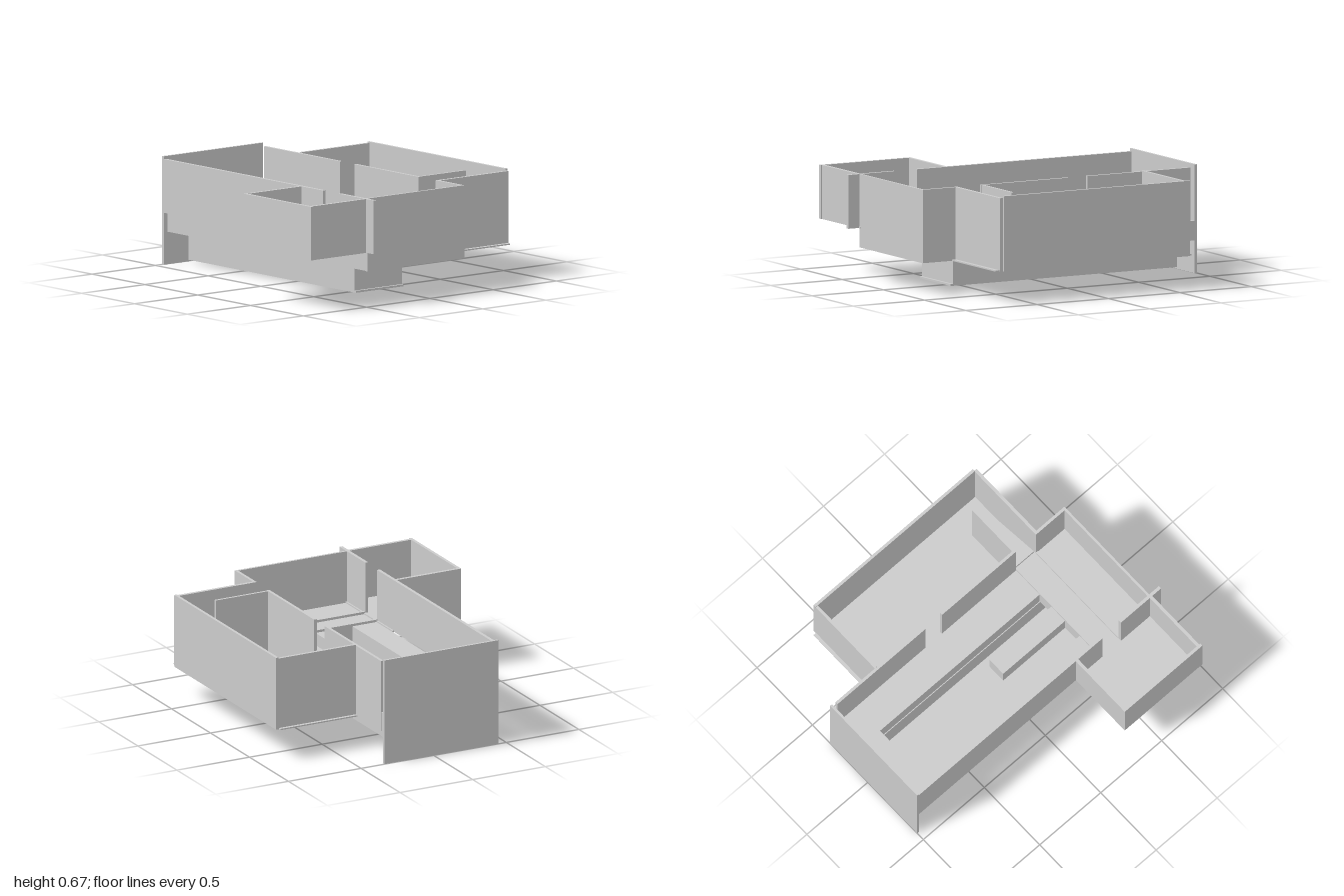
import * as THREE from 'three';

const material = new THREE.MeshStandardMaterial({ color: 0xcccccc, flatShading: true });

export function createModel() {
  const house = new THREE.Group();
  house.name = 'house';

  const add = (name, geometry) => {
    const mesh = new THREE.Mesh(geometry, material);
    mesh.name = name;
    house.add(mesh);
    return mesh;
  };
  // Box given by its limits on each axis
  const block = (name, x0, x1, y0, y1, z0, z1) => {
    const mesh = add(name, new THREE.BoxGeometry(x1 - x0, y1 - y0, z1 - z0));
    mesh.position.set((x0 + x1) / 2, (y0 + y1) / 2, (z0 + z1) / 2);
    return mesh;
  };
  const path = (points, Type = THREE.Shape) =>
    new Type(points.map(([a, b]) => new THREE.Vector2(a, b)));

  const low = 0.2, floor = 0.32, top = 0.65;

  // Thick main floor with a U-shaped opening over the sunken trough
  const slab = path([[-0.985, -0.415], [0.905, -0.415], [0.905, 0.335], [-0.985, 0.335]]);
  slab.holes.push(path([
    [-0.8, -0.25], [-0.8, 0.11], [0.508, 0.11], [0.508, 0.005],
    [0, 0.005], [0, -0.12], [0.508, -0.12], [0.508, -0.25],
  ], THREE.Path));
  const slabGeometry = new THREE.ExtrudeGeometry(slab, { depth: floor - low, bevelEnabled: false });
  slabGeometry.rotateX(-Math.PI / 2).translate(0, low, 0);
  add('mainFloor', slabGeometry);

  // Sunken trough below the main floor
  block('troughBase', -0.985, 0.6, 0.01, 0.022, -0.125, 0.25);
  block('troughFrontWall', -0.985, 0.585, 0.022, low, 0.23, 0.25);
  block('troughBackWall', -0.985, 0.585, 0.022, low, -0.125, -0.105);
  block('troughEndWall', 0.57, 0.585, 0.022, low, -0.105, 0.23);

  // Main walls
  block('tallSideWall', -1, -0.985, 0, 0.667, -0.34, 0.445);
  block('frontWall', -0.985, 0.52, floor, top, 0.425, 0.445);
  block('frontWallShort', 0.67, 1, floor, top, 0.425, 0.445);
  block('sideWall', 0.905, 0.92, low, top, -0.34, 0.425);
  for (const [x0, x1] of [[-0.955, -0.235], [-0.1, 0.508], [0.67, 0.905]])
    block('dividingWall', x0, x1, low, top, -0.34, -0.322);

  // Low curbs along the passage
  for (const x of [0.508, 0.67])
    block('passageCurb', x, x + 0.017, floor, 0.335, -0.322, 0.425);

  // Lower back room
  block('backRoomFloor', -0.655, 0.715, low, low + 0.008, -0.87, -0.335);
  block('backRoomBackWall', -0.635, 0.67, low, 0.662, -0.89, -0.872);
  block('backRoomRightWall', -0.635, -0.617, low, 0.655, -0.872, -0.34);
  block('backRoomLeftWall', 0.67, 0.69, low, top, -0.88, -0.34);

  // Ramp from the back room up to the passage, with its screen wall
  const ramp = path([[0.34, low], [0.7, low], [0.34, floor]]);
  const rampGeometry = new THREE.ExtrudeGeometry(ramp, { depth: 0.165, bevelEnabled: false });
  rampGeometry.rotateY(Math.PI / 2).translate(0.505, 0, 0);
  add('ramp', rampGeometry);
  block('rampScreen', 0.49, 0.505, low, top, -0.7, -0.34);

  // Front room
  block('frontRoomFloor', 0.3, 0.925, 0.318, 0.328, 0.415, 0.87);
  block('frontRoomRightWall', 0.3, 0.32, floor, top, 0.445, 0.868);
  block('frontRoomLeftWall', 0.907, 0.927, floor, top, 0.445, 0.868);
  block('frontRoomFrontWall', 0.3, 0.937, floor, top, 0.868, 0.887);

  return house;
}
